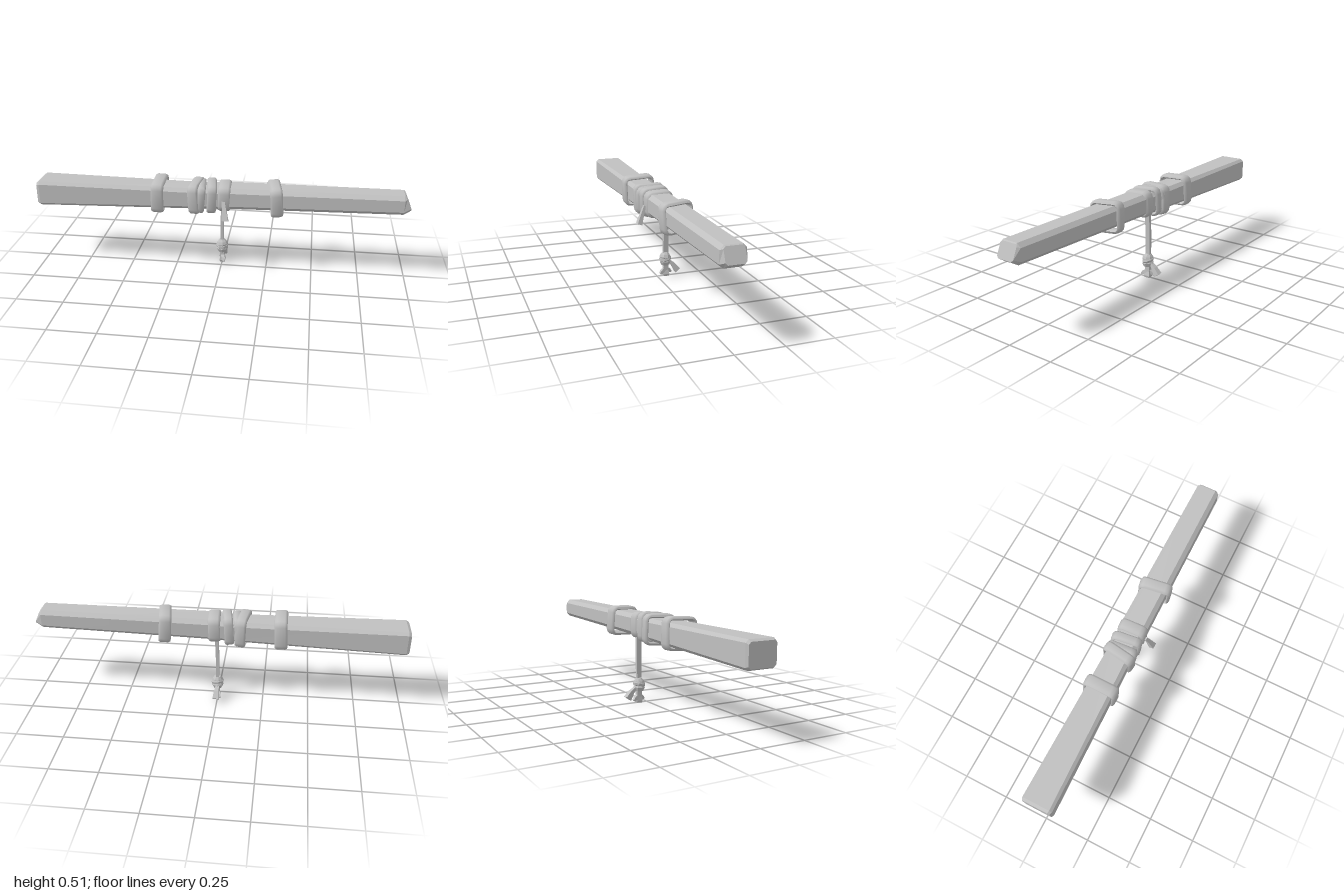
import * as THREE from 'three';
import { toCreasedNormals } from 'three/addons/utils/BufferGeometryUtils.js';

// Skins a list of equal-length point loops; ends are capped or joined in a ring.
function loft(sections, { joined = false, crease = 0.1 } = {}) {
  const n = sections[0].length, m = sections.length, pos = [];
  const tri = (a, b, c) => pos.push(...a, ...b, ...c);
  for (let i = 0; i < (joined ? m : m - 1); i++) {
    const p = sections[i], q = sections[(i + 1) % m];
    for (let j = 0; j < n; j++) {
      const k = (j + 1) % n;
      tri(p[j], p[k], q[k]);
      tri(p[j], q[k], q[j]);
    }
  }
  if (!joined) {
    const a = sections[0], b = sections[m - 1];
    for (let j = 1; j < n - 1; j++) {
      tri(a[0], a[j + 1], a[j]);
      tri(b[0], b[j], b[j + 1]);
    }
  }
  // Turn the faces outward when the enclosed volume comes out negative.
  const v = Array.from({ length: pos.length / 3 }, (_, i) => new THREE.Vector3().fromArray(pos, i * 3));
  let volume = 0;
  for (let i = 0; i < v.length; i += 3) volume += v[i].dot(v[i + 1].clone().cross(v[i + 2]));
  if (volume < 0) for (let i = 0; i < v.length; i += 3) [v[i + 1], v[i + 2]] = [v[i + 2], v[i + 1]];
  return toCreasedNormals(new THREE.BufferGeometry().setFromPoints(v), crease);
}

// Chamfered rectangle across the bar; slope leans the section along x.
function barSection(x, y0, y1, z, c, slope = 0) {
  return [[y0, z - c], [y0 + c, z], [y1 - c, z], [y1, z - c],
    [y1, c - z], [y1 - c, -z], [y0 + c, -z], [y0, c - z]]
    .map(([y, pz]) => [x - slope * (y - y0) / (y1 - y0), y, pz]);
}

// Rounded square strap: half height hy, half depth hz, width w, thickness t.
function strap(hy, hz, w, t = 0.02, r = 0.035) {
  const profile = [[-0.5, 0.35], [-0.36, 0], [0.36, 0], [0.5, 0.35], [0.46, 0.75], [0.3, 1], [-0.3, 1], [-0.46, 0.75]];
  const sections = [];
  for (let corner = 0; corner < 4; corner++) {
    for (let s = 0; s < 4; s++) {
      const a = (corner + s / 3) * Math.PI / 2;
      const sy = corner < 2 ? 1 : -1, sz = corner === 0 || corner === 3 ? 1 : -1;
      sections.push(profile.map(([px, pt]) => {
        const d = r - t + pt * t;
        return [px * w, sy * (hy - r) + Math.sin(a) * d, sz * (hz - r) + Math.cos(a) * d];
      }));
    }
  }
  return loft(sections, { joined: true, crease: 0.9 });
}

// Flat strip running through points [x, y, z, width, thickness]; side is its width direction.
function strip(points, side) {
  const s = new THREE.Vector3(...side).normalize();
  const first = new THREE.Vector3(...points[0].slice(0, 3));
  const last = new THREE.Vector3(...points[points.length - 1].slice(0, 3));
  const n = last.sub(first).cross(s).normalize();
  return loft(points.map(([x, y, z, w, t]) => [[-1, -1], [1, -1], [1, 1], [-1, 1]].map(([a, b]) =>
    new THREE.Vector3(x, y, z).addScaledVector(s, a * w / 2).addScaledVector(n, b * t / 2).toArray())));
}

export function createModel() {
  const model = new THREE.Group();
  const grey = new THREE.MeshStandardMaterial({ color: 0xc0c0c0 });
  grey.name = 'plain grey';
  const add = (name, geometry, position = [0, 0, 0], rotation = [0, 0, 0]) => {
    const mesh = new THREE.Mesh(geometry, grey);
    mesh.name = name;
    mesh.position.set(...position);
    mesh.rotation.set(...rotation);
    model.add(mesh);
  };

  // Tapering wooden bar with a slanted tip
  add('bar', loft([
    barSection(-1, 0.352, 0.47, 0.075, 0.012),
    barSection(-0.985, 0.344, 0.479, 0.081, 0.014),
    barSection(-0.1, 0.36, 0.476, 0.067, 0.02),
    barSection(0.06, 0.368, 0.485, 0.07, 0.022),
    barSection(0.955, 0.384, 0.488, 0.063, 0.02),
    barSection(0.995, 0.41, 0.484, 0.05, 0.01, 0.033),
  ]));

  // Straps: centre x, y, half height, half depth, width, rotation
  [
    ['leftStrap', -0.335, 0.42, 0.086, 0.091, 0.068, [0.05, 0, -0.04]],
    ['wrapOne', -0.132, 0.417, 0.083, 0.087, 0.058, [0.03, -0.14, 0.05]],
    ['wrapCross', -0.108, 0.417, 0.077, 0.082, 0.042, [0.06, 0.1, -0.1]],
    ['wrapTwo', -0.052, 0.421, 0.08, 0.081, 0.05, [0.05, 0.14, -0.06]],
    ['cordWrap', 0.02, 0.425, 0.071, 0.076, 0.066, [0.03, 0.05, -0.03]],
    ['rightStrap', 0.29, 0.422, 0.083, 0.088, 0.066, [0.05, 0.16, 0.06]],
  ].forEach(([name, x, y, hy, hz, w, rot]) => add(name, strap(hy, hz, w), [x, y, 0], rot));

  // Loose end at the front of the wrap
  add('wrapTail', strip([[0.02, 0.42, 0.078, 0.018, 0.012], [0.027, 0.385, 0.092, 0.022, 0.016],
    [0.035, 0.325, 0.114, 0.034, 0.026]], [1, 0, 0]));

  // Hanging cord
  const z = -0.049;
  add('cord', strip([[0.005, 0.4, z, 0.027, 0.018], [0, 0.25, z, 0.027, 0.017], [0, 0.12, z, 0.027, 0.017]], [0, 0, 1]));

  // Faceted knot
  const knotPart = (name, profile, y, rot) => add(name,
    toCreasedNormals(new THREE.LatheGeometry(profile.map(p => new THREE.Vector2(...p)), 8), 0.3), [0, y, z + 0.002], rot);
  knotPart('knotTop', [[0, -0.02], [0.024, -0.018], [0.032, -0.002], [0.027, 0.012], [0.015, 0.027], [0, 0.028]], 0.112, [-0.12, 0.2, 0.1]);
  knotPart('knotBand', [[0, -0.013], [0.03, -0.011], [0.035, 0], [0.03, 0.011], [0, 0.013]], 0.103, [0.35, 0.3, -0.15]);
  knotPart('knotBase', [[0, -0.017], [0.024, -0.016], [0.032, 0.004], [0.028, 0.013], [0, 0.014]], 0.082, [0.05, 0.1, 0]);

  // Frayed cord ends
  add('centreEnd', strip([[0, 0.075, z, 0.027, 0.02], [0, 0.035, z, 0.028, 0.022], [0.002, 0.012, z, 0.034, 0.032],
    [0.002, 0.001, z, 0.028, 0.026]], [0, 0, 1]));
  for (const s of [-1, 1]) {
    add('sideEnd', strip([[0, 0.045, z, 0.018, 0.016], [s * 0.008, 0.028, z + s * 0.022, 0.02, 0.02],
      [s * 0.01, 0.016, z + s * 0.036, 0.016, 0.008]], [1, 0, 0]));
  }
  add('backEnd', strip([[0, 0.085, -0.07, 0.018, 0.012], [0.002, 0.063, -0.092, 0.026, 0.022],
    [0.004, 0.028, -0.116, 0.034, 0.034]], [1, 0, 0]));

  return model;
}
